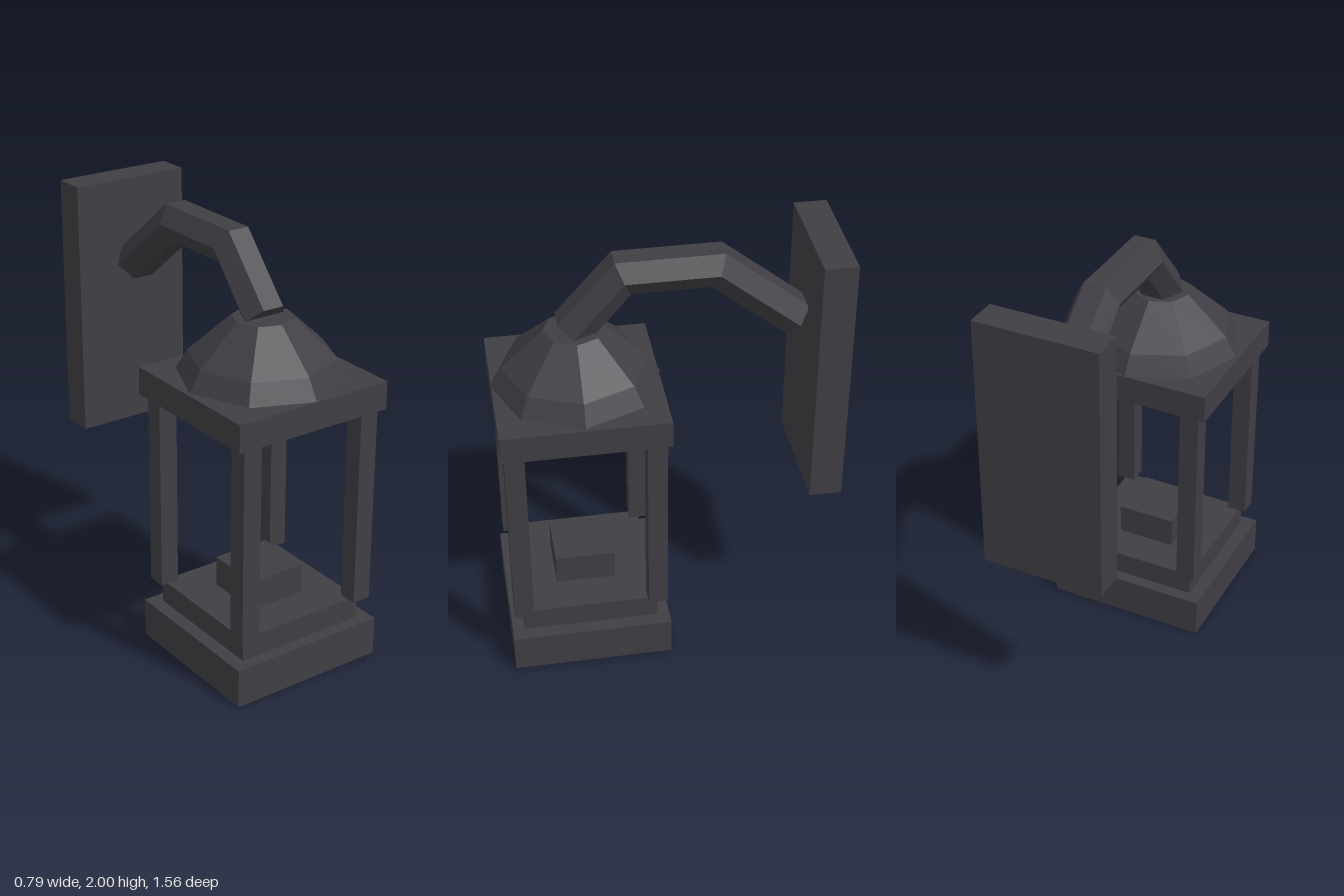
import * as THREE from 'three';

export function createModel() {
  const group = new THREE.Group();
  const metal = new THREE.MeshStandardMaterial({ color: 0x403e44, flatShading: true });
  metal.name = 'dark metal';
  const lampZ = 0.4; // centre line of the lantern

  const add = (name, geometry) => {
    const mesh = new THREE.Mesh(geometry, metal);
    mesh.name = name;
    group.add(mesh);
    return mesh;
  };
  // Box given by its width, depth, bottom, top and centre
  const box = (name, w, d, y0, y1, x, z) =>
    add(name, new THREE.BoxGeometry(w, y1 - y0, d)).position.set(x, (y0 + y1) / 2, z);

  // Wall plate
  box('wallPlate', 0.575, 0.15, 0.79, 2, 0, -0.705);

  // Stepped base and candle block
  box('base', 0.77, 0.745, 0, 0.185, 0, lampZ);
  box('baseStep', 0.64, 0.63, 0.185, 0.295, 0, lampZ);
  box('candleBlock', 0.28, 0.28, 0.295, 0.44, 0, lampZ);

  // Four corner posts
  for (const sx of [-1, 1])
    for (const sz of [-1, 1])
      box('cornerPost', 0.09, 0.09, 0.3, 1.23, sx * 0.312, lampZ + sz * 0.314);

  // Roof slab and eight-sided dome
  box('roofSlab', 0.785, 0.75, 1.235, 1.365, 0, lampZ);
  const profile = [[0, 1.37], [0.381, 1.37], [0.328, 1.46], [0.136, 1.635], [0, 1.635]]
    .map(([r, y]) => new THREE.Vector2(r, y));
  add('roofDome', new THREE.LatheGeometry(profile, 8)).position.z = lampZ;

  // Hexagonal arm: mitred sections from lantern to wall, [z, y, half-height vector z, y]
  const sections = [
    [0.413, 1.635, 0.0615, 0.055],
    [0.185, 1.895, 0.035, 0.08],
    [-0.23, 1.895, -0.03, 0.08],
    [-0.59, 1.605, -0.052, 0.064],
  ];
  const sides = 6;
  const positions = [];
  const index = [];
  for (const [z, y, vz, vy] of sections)
    for (let j = 0; j < sides; j++) {
      const a = (j / sides) * Math.PI * 2;
      const s = Math.sin(a) / Math.sin(Math.PI / 3);
      positions.push(0.103 * Math.cos(a), y + vy * s, z + vz * s);
    }
  for (let i = 0; i < sections.length - 1; i++)
    for (let j = 0; j < sides; j++) {
      const k = (j + 1) % sides;
      const a = i * sides, b = a + sides;
      index.push(a + j, b + j, a + k, a + k, b + j, b + k);
    }
  // End caps
  const last = (sections.length - 1) * sides;
  for (let j = 1; j < sides - 1; j++)
    index.push(0, j, j + 1, last, last + j + 1, last + j);
  const arm = new THREE.BufferGeometry();
  arm.setAttribute('position', new THREE.Float32BufferAttribute(positions, 3));
  arm.setIndex(index);
  const armFlat = arm.toNonIndexed();
  armFlat.computeVertexNormals();
  add('wallArm', armFlat);

  return group;
}
